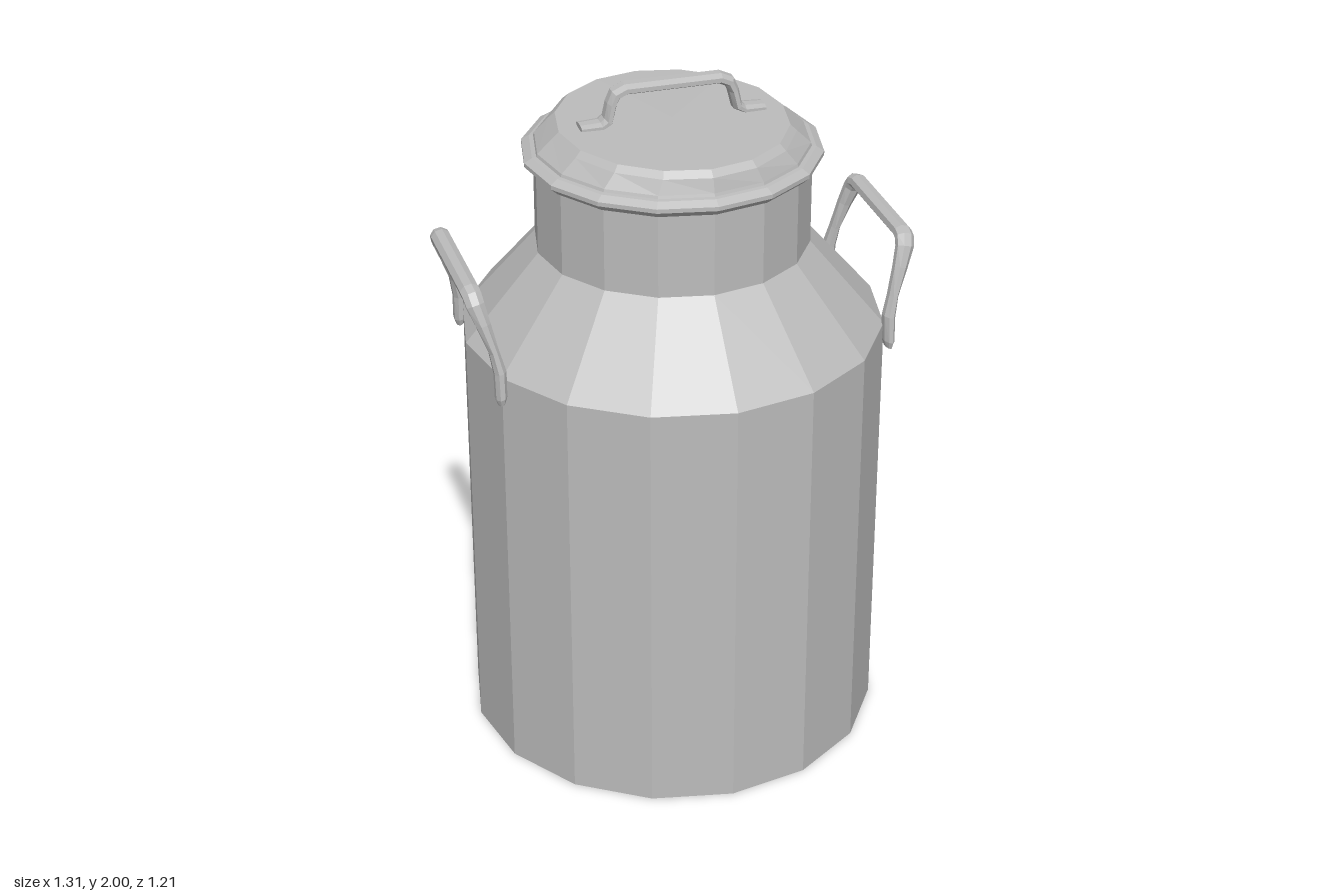
import * as THREE from 'three';

const SIDES = 16;

// Give every face its own flat normal
function faceted(geometry) {
  const g = geometry.index ? geometry.toNonIndexed() : geometry;
  g.computeVertexNormals();
  return g;
}

function lathe(profile) {
  return new THREE.LatheGeometry(profile.map(([r, y]) => new THREE.Vector2(r, y)), SIDES);
}

// Sweep an eight-sided oval along a path; each point is [x, y, z, half width, half thickness],
// and the width always runs along the fixed side vector
function sweep(path, side) {
  const n = 8, pos = [], index = [];
  const pts = path.map(([x, y, z]) => new THREE.Vector3(x, y, z));
  const last = pts.length - 1;
  pts.forEach((p, i) => {
    const a = pts[Math.max(i - 1, 0)], b = pts[Math.min(i + 1, last)];
    const inDir = (i ? p : b).clone().sub(i ? a : p).normalize();
    const outDir = (i < last ? b : p).clone().sub(i < last ? p : a).normalize();
    const tangent = inDir.clone().add(outDir).normalize();
    const normal = tangent.clone().cross(side).normalize();
    const mitre = 1 / Math.max(0.6, tangent.dot(outDir));
    for (let k = 0; k < n; k++) {
      const t = (k + 0.5) / n * Math.PI * 2;
      // slightly squared oval
      const c = Math.cos(t) / Math.cos(Math.PI / 8), s = Math.sin(t) / Math.cos(Math.PI / 8);
      const v = p.clone().addScaledVector(side, c * path[i][3]).addScaledVector(normal, s * path[i][4] * mitre);
      pos.push(v.x, v.y, v.z);
    }
  });
  for (let i = 0; i < last; i++) {
    for (let k = 0; k < n; k++) {
      const a = i * n + k, b = i * n + (k + 1) % n;
      index.push(a, a + n, b, b, a + n, b + n);
    }
  }
  // end caps
  for (let k = 1; k < n - 1; k++) {
    index.push(0, k, k + 1);
    index.push(last * n, last * n + k + 1, last * n + k);
  }
  const g = new THREE.BufferGeometry();
  g.setAttribute('position', new THREE.Float32BufferAttribute(pos, 3));
  g.setIndex(index);
  return g;
}

export function createModel() {
  const group = new THREE.Group();
  group.name = 'milkCan';
  const metal = new THREE.MeshStandardMaterial({ color: 0xbcbcbc, side: THREE.DoubleSide });
  metal.name = 'grey metal';

  function add(name, geometry) {
    const mesh = new THREE.Mesh(faceted(geometry), metal);
    mesh.name = name;
    group.add(mesh);
    return mesh;
  }

  // Body, sloping shoulder and neck
  add('body', lathe([[0, 0], [0.605, 0], [0.605, 1.27], [0.39, 1.52], [0.39, 1.79]]));

  // Rolled rim under the lid
  add('rim', lathe([[0.385, 1.763], [0.4, 1.765], [0.422, 1.785], [0.422, 1.797], [0.4, 1.81], [0.385, 1.812]]));

  // Lid, with its top drawn in a little on both sides
  const lid = lathe([[0.392, 1.8], [0.385, 1.82], [0.375, 1.86], [0.355, 1.877], [0, 1.88]]);
  const p = lid.attributes.position;
  for (let i = 0; i < p.count; i++) {
    if (p.getY(i) > 1.85) p.setX(i, p.getX(i) * 0.91);
  }
  add('lid', lid);

  // Lid handle: flat feet, short legs and a rounded bar
  const half = [
    [0.265, 1.885, 0, 0.03, 0.008], [0.205, 1.886, 0, 0.033, 0.01], [0.186, 1.898, 0, 0.034, 0.013],
    [0.175, 1.945, 0, 0.031, 0.014], [0.163, 1.971, 0, 0.03, 0.015], [0.135, 1.984, 0, 0.03, 0.015],
  ];
  const mirrored = half.map(([x, ...rest]) => [-x, ...rest]).reverse();
  add('lidHandle', sweep([...half, ...mirrored], new THREE.Vector3(0, 0, 1)));

  // Carrying handles on the shoulders, leaning outwards
  const leg = [
    [0.567, 1.205, 0.25, 0.01, 0.02], [0.567, 1.225, 0.25, 0.016, 0.026], [0.567, 1.3, 0.246, 0.017, 0.024],
    [0.58, 1.36, 0.238, 0.014, 0.022], [0.604, 1.44, 0.225, 0.02, 0.021], [0.621, 1.495, 0.211, 0.025, 0.021],
    [0.625, 1.516, 0.197, 0.026, 0.021], [0.627, 1.522, 0.175, 0.026, 0.021],
  ];
  const otherLeg = leg.map(([x, y, z, w, t]) => [x, y, -z, w, t]).reverse();
  const lean = new THREE.Vector3(0.97, -0.24, 0).normalize();
  ['leftHandle', 'rightHandle'].forEach((name, i) => {
    add(name, sweep([...leg, ...otherLeg], lean)).rotation.y = i * Math.PI;
  });

  return group;
}
